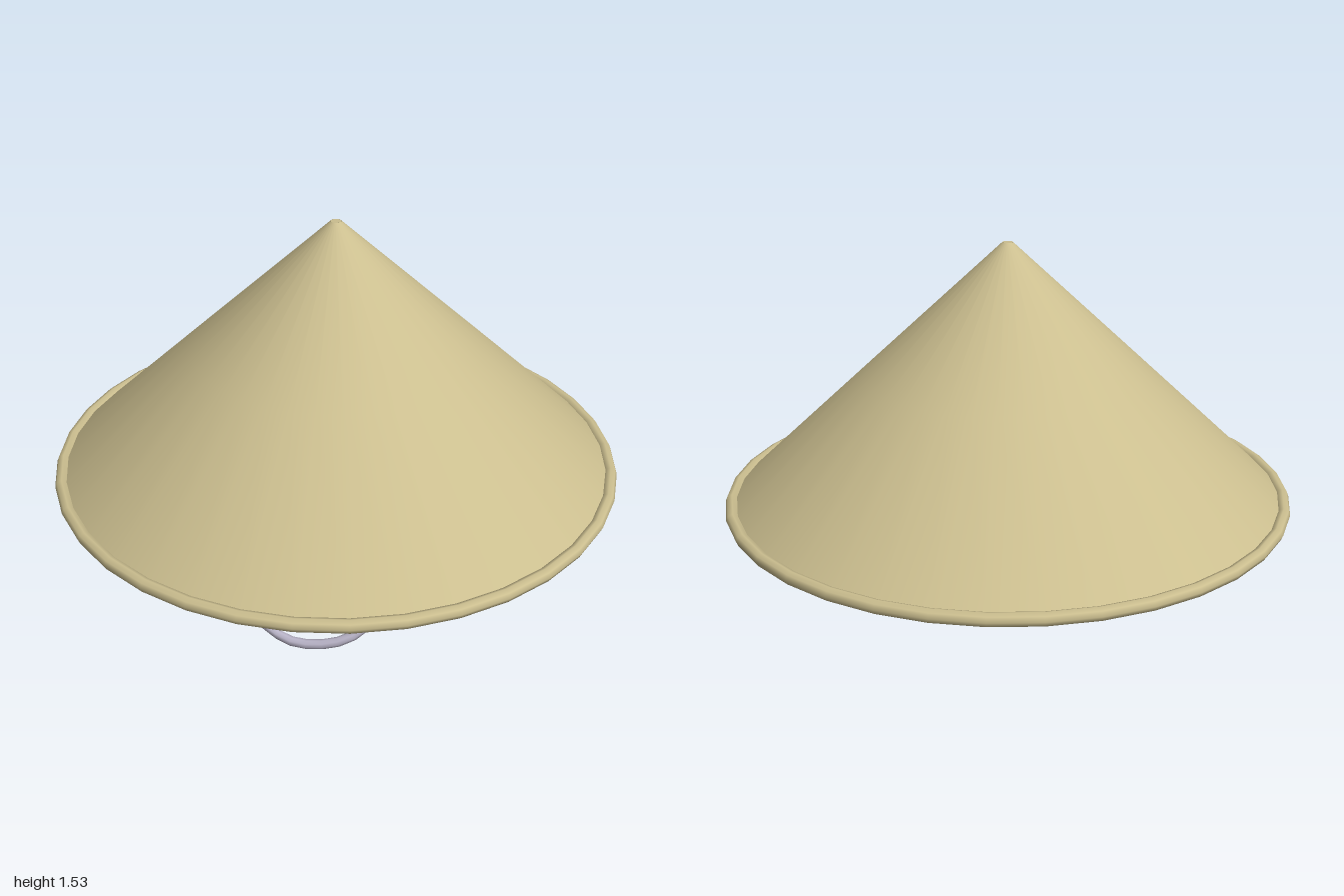
import * as THREE from 'three';

export function createModel() {
  const model = new THREE.Group();
  const straw = new THREE.MeshStandardMaterial({ name: 'straw', color: 0xcbbe8f, side: THREE.DoubleSide });
  const cord = new THREE.MeshStandardMaterial({ name: 'cord', color: 0xbdb8cc });

  const add = (name, geometry, material) => {
    const mesh = new THREE.Mesh(geometry, material);
    mesh.name = name;
    model.add(mesh);
    return mesh;
  };

  // Thick conical shell: outer wall, inner wall and the flat edge joining them
  const shell = (name, ...profile) =>
    add(name, new THREE.LatheGeometry(profile.map(([r, y]) => new THREE.Vector2(r, y)), 36), straw);
  shell('outerCrown', [0.974, 0.628], [0.5, 1.075], [0.018, 1.528]);
  shell('innerCrown', [0.001, 1.485], [0.46, 1.048], [0.925, 0.608]);
  shell('brimEdge', [0.925, 0.608], [0.98, 0.606]);
  const tip = add('tip', new THREE.CircleGeometry(0.018, 12), straw);
  tip.rotation.x = -Math.PI / 2;
  tip.position.y = 1.528;

  // Rolled hoops: the outer rim and the head ring inside
  const hoop = (name, radius, tube, y) => {
    const geometry = new THREE.TorusGeometry(radius, tube, 8, 36);
    geometry.rotateX(Math.PI / 2);
    add(name, geometry, straw).position.y = y;
  };
  hoop('rim', 0.977, 0.023, 0.628);
  hoop('headRing', 0.408, 0.024, 0.96);

  // Chin strap hanging forward from both sides of the head ring
  const side = [
    [0.405, 0.96, 0], [0.4, 0.78, 0.015], [0.388, 0.6, 0.055], [0.37, 0.42, 0.1],
    [0.335, 0.26, 0.165], [0.28, 0.15, 0.235], [0.19, 0.065, 0.307],
  ];
  const points = [
    ...side.map(([x, y, z]) => new THREE.Vector3(-x, y, z)),
    new THREE.Vector3(0, 0.02, 0.35),
    ...side.map(([x, y, z]) => new THREE.Vector3(x, y, z)).reverse(),
  ];
  add('chinStrap', new THREE.TubeGeometry(new THREE.CatmullRomCurve3(points), 40, 0.018, 8), cord);

  return model;
}
